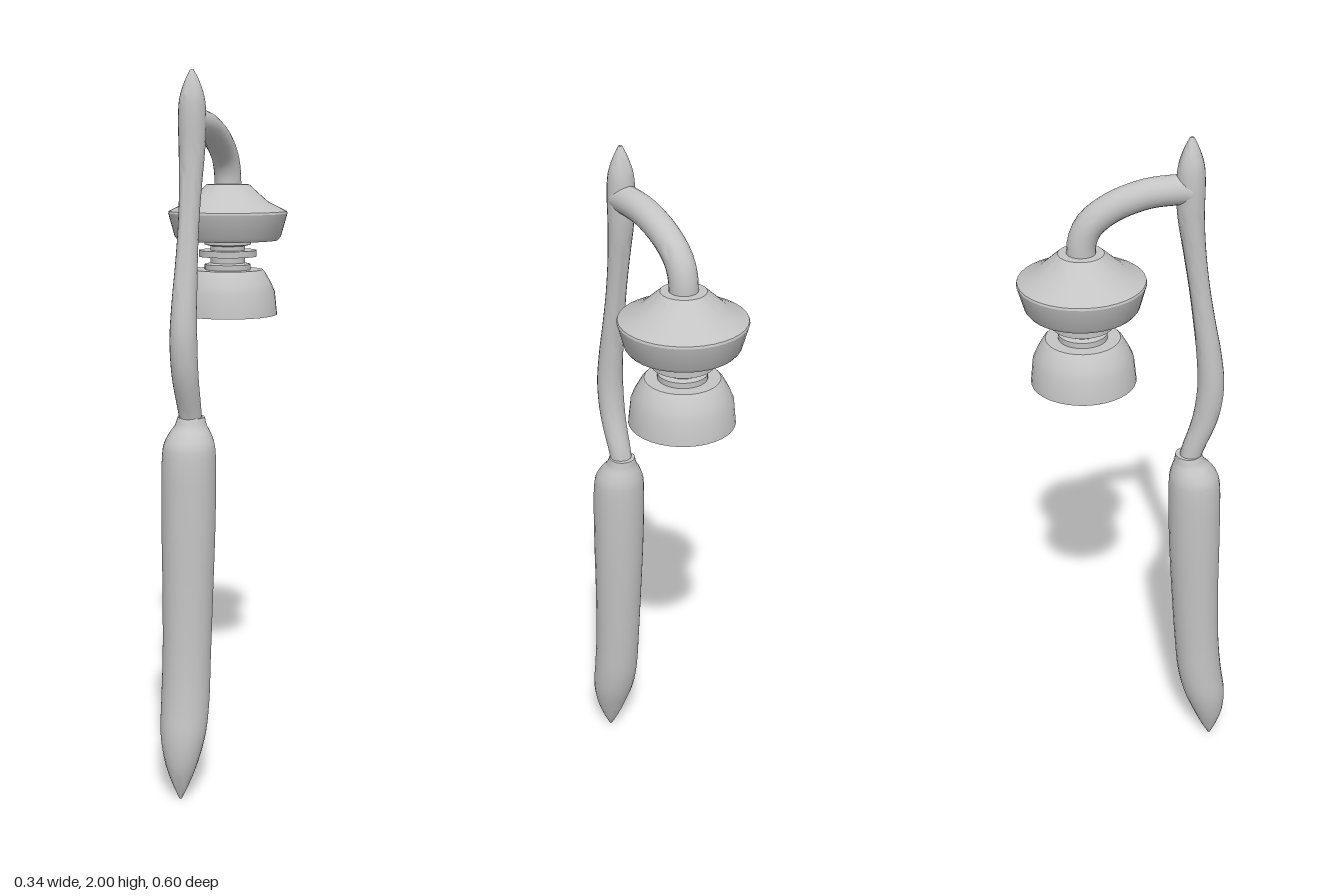
import * as THREE from 'three';
import { toCreasedNormals } from 'three/addons/utils/BufferGeometryUtils.js';

const metal = new THREE.MeshStandardMaterial({ color: 0xc4c4c4 });
metal.name = 'light grey metal';

function part(name, geometry, crease) {
  const mesh = new THREE.Mesh(toCreasedNormals(geometry, crease), metal);
  mesh.name = name;
  return mesh;
}

// Turned shape whose rings [radius, y, z] drift along z, smoothed by a spline
function bentPole(rings, steps, sides) {
  const curve = new THREE.CatmullRomCurve3(rings.map(r => new THREE.Vector3(...r)));
  const pts = curve.getPoints(steps);
  // close both ends on the axis
  const first = pts[0].clone().setX(0), last = pts[steps].clone().setX(0);
  const all = [first, ...pts, last];
  const geo = new THREE.LatheGeometry(all.map(p => new THREE.Vector2(Math.max(p.x, 0), p.y)), sides);
  const pos = geo.attributes.position;
  for (let i = 0; i < pos.count; i++) pos.setZ(i, pos.getZ(i) + all[i % all.length].z);
  return geo;
}

export function createModel() {
  const model = new THREE.Group();
  model.name = 'hanging bell staff';

  // Thick grip with a pointed foot and a shouldered top
  model.add(part('grip', bentPole([
    [0.004, 0, 0.254], [0.026, 0.05, 0.251], [0.047, 0.11, 0.246], [0.064, 0.19, 0.232],
    [0.068, 0.28, 0.215], [0.068, 0.4, 0.203], [0.071, 0.6, 0.192], [0.075, 0.8, 0.185],
    [0.074, 0.98, 0.18], [0.069, 1.015, 0.177], [0.055, 1.045, 0.17], [0.045, 1.06, 0.165],
    [0.037, 1.085, 0.161],
  ], 48, 24), 0.8));

  // Slim curved pole ending in a rounded point
  model.add(part('pole', bentPole([
    [0.03, 1.06, 0.162], [0.032, 1.1, 0.172], [0.036, 1.2, 0.205], [0.037, 1.3, 0.217],
    [0.034, 1.4, 0.209], [0.03, 1.5, 0.193], [0.028, 1.6, 0.177], [0.03, 1.7, 0.162],
    [0.035, 1.8, 0.15], [0.037, 1.88, 0.148], [0.033, 1.93, 0.148], [0.02, 1.97, 0.148],
    [0.005, 2, 0.148],
  ], 48, 20), 0.8));

  // Arm arching backwards to the lamp
  const armPath = new THREE.CatmullRomCurve3([
    [1.867, 0.15], [1.865, 0.1], [1.857, 0.037], [1.825, -0.048],
    [1.78, -0.106], [1.735, -0.127], [1.69, -0.13],
  ].map(([y, z]) => new THREE.Vector3(0, y, z)));
  model.add(part('arm', new THREE.TubeGeometry(armPath, 20, 0.038, 20), 0.8));

  // Turned lamp parts, each profile [radius, y] running from bottom to top
  const turned = {
    bell: [[0, 1.335], [0.143, 1.335], [0.136, 1.4], [0.125, 1.425], [0.108, 1.455], [0.1, 1.463], [0, 1.463]],
    neck: [[0.066, 1.46], [0.066, 1.478], [0.05, 1.482], [0.05, 1.53], [0.067, 1.534], [0.067, 1.55]],
    neckRing: [[0.045, 1.5], [0.083, 1.5], [0.083, 1.518], [0.045, 1.518]],
    shade: [[0, 1.547], [0.144, 1.547], [0.152, 1.557], [0.17, 1.622], [0.168, 1.628],
      [0.114, 1.655], [0.06, 1.703], [0, 1.705]],
  };
  const lamp = new THREE.Group();
  lamp.name = 'lamp';
  lamp.position.z = -0.13;
  for (const [name, profile] of Object.entries(turned)) {
    const points = profile.map(([r, y]) => new THREE.Vector2(r, y));
    lamp.add(part(name, new THREE.LatheGeometry(points, 36), 0.45));
  }
  model.add(lamp);

  return model;
}
